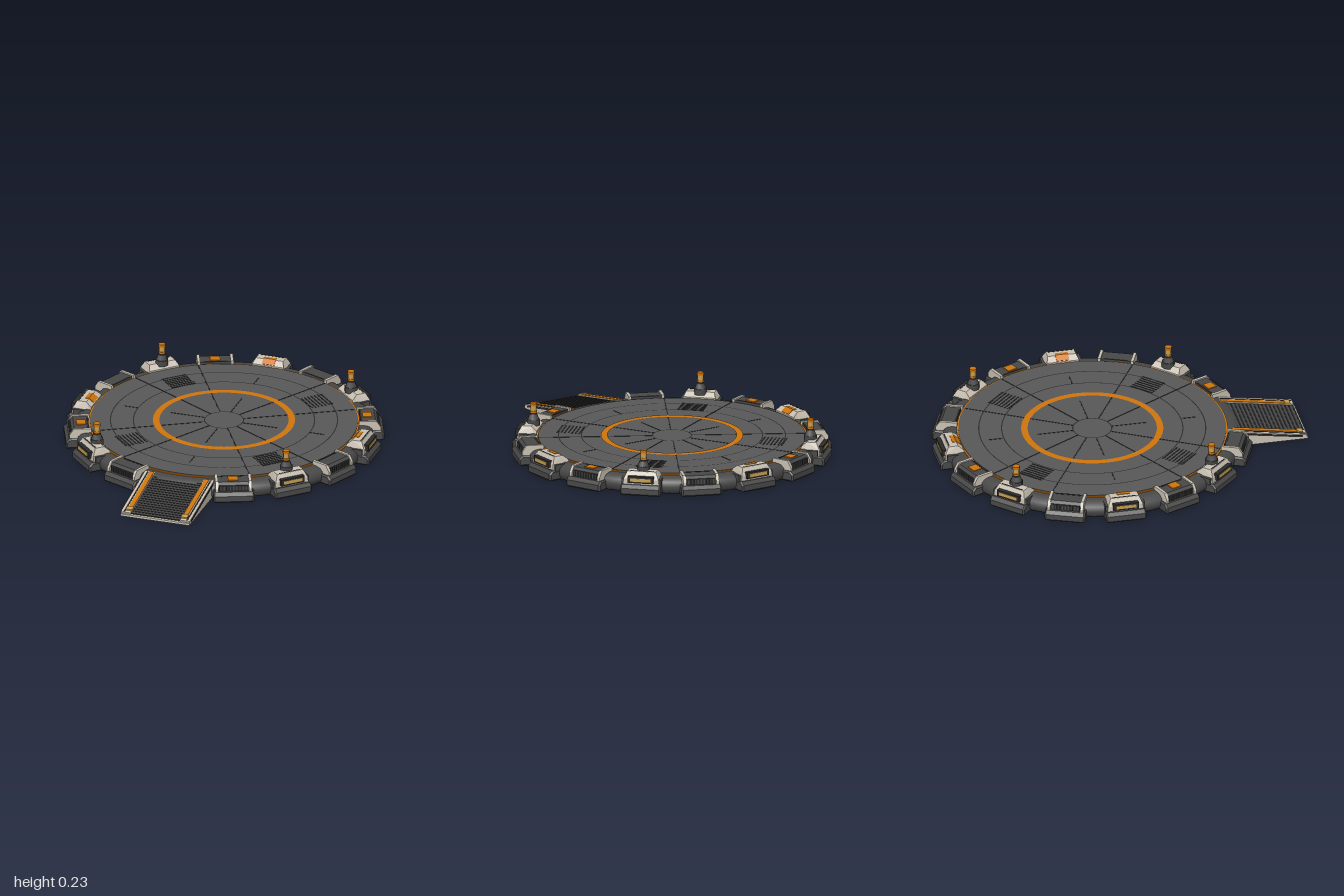
import * as THREE from 'three';

const mat = (name, color) => {
  const m = new THREE.MeshStandardMaterial({ color });
  m.name = name;
  return m;
};

export function createModel() {
  const M = {
    deck: mat('deck grey', 0x585858),
    rim: mat('rim grey', 0x484848),
    dark: mat('line dark', 0x2b2b2b),
    white: mat('warm white', 0xcac1b3),
    orange: mat('orange', 0xd0750c),
    gold: mat('gold', 0xc8a050),
  };
  const root = new THREE.Group();
  root.name = 'landingPad';
  const CZ = -0.145, TOP = 0.095;

  const add = (parent, name, geo, material, x = 0, y = 0, z = 0) => {
    const m = new THREE.Mesh(geo, material);
    m.name = name;
    m.position.set(x, y, z);
    parent.add(m);
    return m;
  };
  const box = (parent, name, material, w, h, d, x, y, z) =>
    add(parent, name, new THREE.BoxGeometry(w, h, d), material, x, y, z);
  // profile in (z, y), extruded across x and centred on it
  const slab = (pts, w, bevel = 0) => {
    const s = new THREE.Shape(pts.map(p => new THREE.Vector2(p[0], p[1])));
    const g = new THREE.ExtrudeGeometry(s, {
      depth: w - 2 * bevel, bevelEnabled: bevel > 0, bevelSize: bevel,
      bevelThickness: bevel, bevelOffset: -bevel, bevelSegments: 1,
    });
    g.rotateY(-Math.PI / 2);
    return g.translate(w / 2 - bevel, 0, 0);
  };
  // profile slab whose width narrows towards the top
  const taperedSlab = (pts, w, topW, y0, y1) => {
    const g = slab(pts, w), p = g.attributes.position;
    for (let i = 0; i < p.count; i++) {
      const t = THREE.MathUtils.clamp((p.getY(i) - y0) / (y1 - y0), 0, 1);
      p.setX(i, p.getX(i) * THREE.MathUtils.lerp(1, topW / w, t));
    }
    g.computeVertexNormals();
    return g;
  };

  // platform: rounded rim, orange step and raised deck
  const pad = new THREE.Group();
  pad.name = 'pad';
  pad.position.z = CZ;
  root.add(pad);
  const rimPts = [[0, 0], [0.785, 0], [0.8, 0.015], [0.805, 0.04], [0.798, 0.065],
    [0.78, 0.081], [0.755, 0.087], [0.72, 0.087]].map(p => new THREE.Vector2(...p));
  add(pad, 'rim', new THREE.LatheGeometry(rimPts, 96), M.rim);
  add(pad, 'edgeBand', new THREE.CylinderGeometry(0.729, 0.729, 0.03, 96), M.orange, 0, 0.077, 0);
  add(pad, 'deck', new THREE.CylinderGeometry(0.72, 0.72, 0.03, 96), M.deck, 0, TOP - 0.015, 0);

  // deck markings
  const ring = (name, r0, r1, material, y) => {
    const g = new THREE.RingGeometry(r0, r1, 96);
    g.rotateX(-Math.PI / 2);
    add(pad, name, g, material, 0, y, 0);
  };
  ring('targetRing', 0.347, 0.382, M.orange, TOP + 0.003);
  [0.105, 0.487, 0.61].forEach(r => ring('ringSeam', r - 0.003, r + 0.003, M.dark, TOP + 0.0015));
  for (let i = 0; i < 12; i++) {
    const spoke = new THREE.Group();
    spoke.name = 'spoke';
    spoke.rotation.y = i * Math.PI / 6;
    pad.add(spoke);
    const spans = i % 3 ? [[0.105, 0.718]] : [[0.105, 0.30], [0.49, 0.57]];
    spans.forEach(([a, b]) =>
      box(spoke, 'radialSeam', M.dark, 0.006, 0.002, b - a, 0, TOP + 0.0005, (a + b) / 2));
  }
  for (let k = 0; k < 4; k++) {
    const vent = new THREE.Group();
    vent.name = 'deckVent';
    vent.rotation.y = Math.PI / 4 + k * Math.PI / 2;
    pad.add(vent);
    for (let j = 0; j < 7; j++)
      box(vent, 'deckSlot', M.dark, 0.14, 0.002, 0.007, 0, TOP + 0.001, 0.495 + j * 0.02);
  }

  // foot block shared by every edge pod
  const foot = g => add(g, 'foot', slab([[0.69, 0], [0.85, 0], [0.857, 0.008], [0.857, 0.038],
    [0.84, 0.056], [0.69, 0.056]], 0.22, 0.008), M.rim);

  // light-coloured housing with a lit window
  const housing = g => {
    add(g, 'housing', taperedSlab([[0.725, 0.05], [0.83, 0.05], [0.828, 0.085], [0.808, 0.124],
      [0.755, 0.124], [0.725, 0.1]], 0.2, 0.155, 0.075, 0.124), M.white);
    box(g, 'windowFrame', M.dark, 0.14, 0.036, 0.03, 0, 0.084, 0.828);
    box(g, 'windowGlow', M.gold, 0.11, 0.018, 0.004, 0, 0.084, 0.844);
    box(g, 'roofSlot', M.dark, 0.13, 0.004, 0.007, 0, 0.123, 0.802);
    [-1, 1].forEach(s => box(g, 'sideBracket', M.rim, 0.014, 0.035, 0.07, s * 0.101, 0.068, 0.785));
  };
  const topPlate = (g, y, z, w, d) => box(g, 'topPlate', M.orange, w, 0.006, d, 0, y, z);

  // warning lamp
  const lamp = g => {
    const c = (name, m, r1, r0, y0, y1) =>
      add(g, name, new THREE.CylinderGeometry(r1, r0, y1 - y0, 8), m, 0, (y0 + y1) / 2, 0.76);
    c('lampBase', M.rim, 0.036, 0.036, 0.11, 0.143);
    c('lampNeck', M.rim, 0.021, 0.032, 0.143, 0.172);
    c('lampCollar', M.dark, 0.016, 0.016, 0.172, 0.18);
    c('lampLower', M.orange, 0.02, 0.02, 0.18, 0.19);
    c('lampGlow', M.gold, 0.017, 0.017, 0.19, 0.217);
    c('lampCap', M.orange, 0.02, 0.02, 0.217, 0.232);
  };

  // low grille unit between pale rails
  const grille = g => {
    add(g, 'grilleBody', slab([[0.73, 0.05], [0.825, 0.05], [0.825, 0.09], [0.81, 0.103],
      [0.73, 0.103]], 0.17), M.rim);
    box(g, 'grilleRecess', M.dark, 0.155, 0.032, 0.006, 0, 0.074, 0.825);
    for (let j = 0; j < 9; j++)
      box(g, 'grilleFin', M.rim, 0.007, 0.03, 0.01, -0.068 + j * 0.017, 0.074, 0.829);
    [-1, 1].forEach(s => add(g, 'rail', slab([[0.72, 0.05], [0.838, 0.05], [0.838, 0.075],
      [0.815, 0.11], [0.72, 0.11]], 0.016), M.white, s * 0.09));
    box(g, 'innerSlot', M.dark, 0.13, 0.005, 0.01, 0, 0.102, 0.735);
  };

  // pods around the edge, the front place is left for the ramp
  for (let i = 0; i < 16; i++) {
    if (i === 8) continue;
    const g = new THREE.Group();
    g.name = ['housingPod', 'grillePod', 'lampPod', 'grillePod'][i % 4];
    g.rotation.y = Math.PI - i * Math.PI / 8;
    pad.add(g);
    foot(g);
    if (i % 2) {
      grille(g);
      if (i % 4 === 3) topPlate(g, 0.105, 0.77, 0.055, 0.05);
    } else {
      housing(g);
      if (i % 4 === 2) lamp(g);
      else {
        const p = topPlate(g, 0.1145, 0.743, 0.07, 0.036);
        p.rotation.x = -Math.atan2(0.024, 0.03);
        topPlate(g, 0.1235, 0.766, 0.07, 0.022);
      }
    }
  }

  // entry ramp
  const ramp = new THREE.Group();
  ramp.name = 'ramp';
  root.add(ramp);
  add(ramp, 'rampBody', slab([[0.58, 0], [1, 0], [1, 0.012], [0.58, 0.08]], 0.39), M.white);
  const slope = new THREE.Group();
  slope.name = 'rampSurface';
  slope.position.set(0, 0.012, 1);
  slope.rotation.x = Math.atan2(0.068, 0.42);
  ramp.add(slope);
  box(slope, 'tread', M.rim, 0.28, 0.006, 0.405, 0, 0.002, -0.215);
  for (let j = 0; j < 18; j++)
    box(slope, 'treadRib', M.dark, 0.27, 0.004, 0.008, 0, 0.005, -0.035 - j * 0.0215);
  [-1, 1].forEach(s => {
    box(slope, 'sideRail', M.white, 0.055, 0.012, 0.41, s * 0.168, 0.004, -0.212);
    box(slope, 'railStripe', M.orange, 0.024, 0.004, 0.36, s * 0.156, 0.011, -0.235);
    box(slope, 'railGroove', M.dark, 0.007, 0.003, 0.4, s * 0.178, 0.0105, -0.212);
    box(slope, 'outerTrim', M.dark, 0.006, 0.01, 0.38, s * 0.196, 0.001, -0.22);
    box(slope, 'railLight', M.gold, 0.036, 0.014, 0.03, s * 0.156, 0.011, -0.042);
  });
  box(slope, 'lipSeam', M.dark, 0.28, 0.004, 0.008, 0, 0.004, -0.014);
  return root;
}
